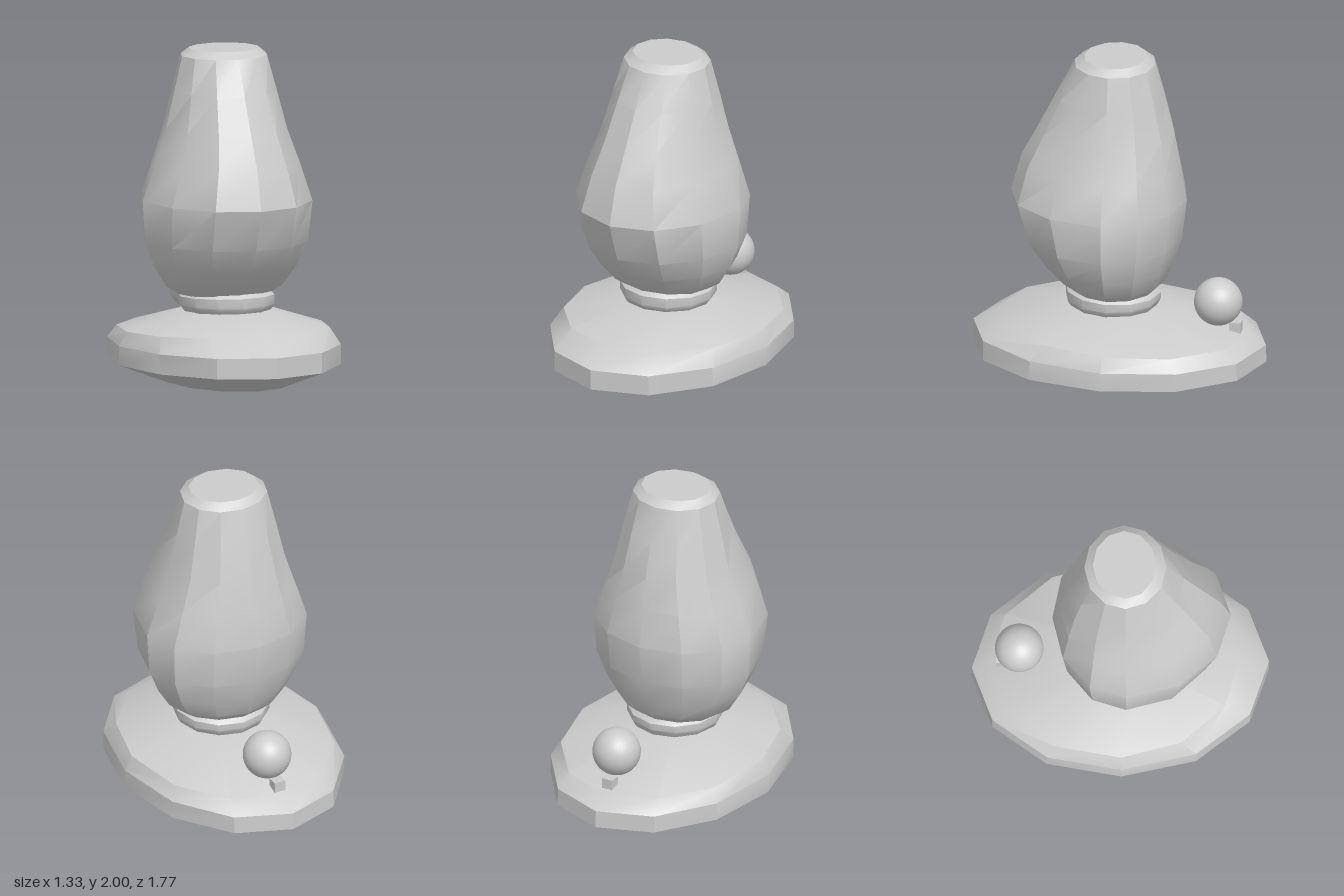
import * as THREE from 'three';
import { toCreasedNormals } from 'three/addons/utils/BufferGeometryUtils.js';

const SIDES = 12;

// Lofts 12-sided rings [y, half width, front z, back z, forward tilt], lowest first, with capped ends.
function loft(name, cx, cz, rings, crease) {
  const pos = [], index = [];
  for (const [y, hx, front, back, tilt = 0] of rings) {
    for (let j = 0; j < SIDES; j++) {
      const a = (j / SIDES) * Math.PI * 2, c = Math.cos(a);
      const reach = c > 0 ? front - cz : cz - back;
      pos.push(cx + hx * Math.sin(a), y + tilt * c, cz + reach * c);
    }
  }
  for (let i = 0; i < rings.length - 1; i++) {
    for (let j = 0; j < SIDES; j++) {
      const a = i * SIDES + j, b = i * SIDES + (j + 1) % SIDES;
      index.push(a, b, b + SIDES, a, b + SIDES, a + SIDES);
    }
  }
  // End caps as fans around a centre point
  const last = (rings.length - 1) * SIDES;
  const bottom = pos.length / 3, top = bottom + 1;
  pos.push(cx, rings[0][0], cz, cx, rings[rings.length - 1][0], cz);
  for (let j = 0; j < SIDES; j++) {
    const k = (j + 1) % SIDES;
    index.push(bottom, k, j, top, last + j, last + k);
  }
  const geo = new THREE.BufferGeometry();
  geo.setAttribute('position', new THREE.Float32BufferAttribute(pos, 3));
  geo.setIndex(index);
  return part(name, toCreasedNormals(geo, THREE.MathUtils.degToRad(crease)));
}

function part(name, geo, x = 0, y = 0, z = 0) {
  const mesh = new THREE.Mesh(geo, new THREE.MeshStandardMaterial({ color: 0xcccccc }));
  mesh.name = name;
  mesh.position.set(x, y, z);
  return mesh;
}

export function createModel() {
  const model = new THREE.Group();
  model.name = 'model';

  // Oval foot with a bevelled rim that slopes down to the back
  model.add(loft('base', 0, 0, [
    [0.0, 0.37, 0.55, -0.53],
    [0.115, 0.667, 0.89, -0.885, 0.01],
    [0.23, 0.667, 0.89, -0.88, 0.02],
    [0.315, 0.62, 0.72, -0.78, 0.035],
    [0.43, 0.26, 0.27, -0.25, 0.01],
  ], 32));

  // Collar between foot and body
  model.add(loft('neck', 0, 0.04, [
    [0.42, 0.26, 0.3, -0.22],
    [0.445, 0.28, 0.32, -0.235],
    [0.465, 0.29, 0.33, -0.245],
    [0.515, 0.29, 0.33, -0.245, 0.01],
    [0.54, 0.26, 0.3, -0.22, 0.01],
  ], 32));

  // Tall body, bulging towards the front and tapering to a flat top
  model.add(loft('body', -0.013, 0.03, [
    [0.53, 0.29, 0.28, -0.22],
    [0.58, 0.365, 0.355, -0.27],
    [0.7, 0.44, 0.47, -0.32],
    [0.85, 0.5, 0.58, -0.37],
    [1.1, 0.515, 0.663, -0.4],
    [1.33, 0.435, 0.6, -0.36],
    [1.53, 0.365, 0.495, -0.325],
    [1.75, 0.315, 0.385, -0.27],
    [1.96, 0.265, 0.28, -0.21],
    [2.0, 0.215, 0.22, -0.16],
  ], 28));

  // Ball on a small block at the back
  model.add(part('ball', new THREE.SphereGeometry(0.145, 32, 20), 0.025, 0.48, -0.597));
  model.add(part('ballBlock', new THREE.BoxGeometry(0.07, 0.07, 0.07), 0.01, 0.32, -0.7));

  return model;
}
